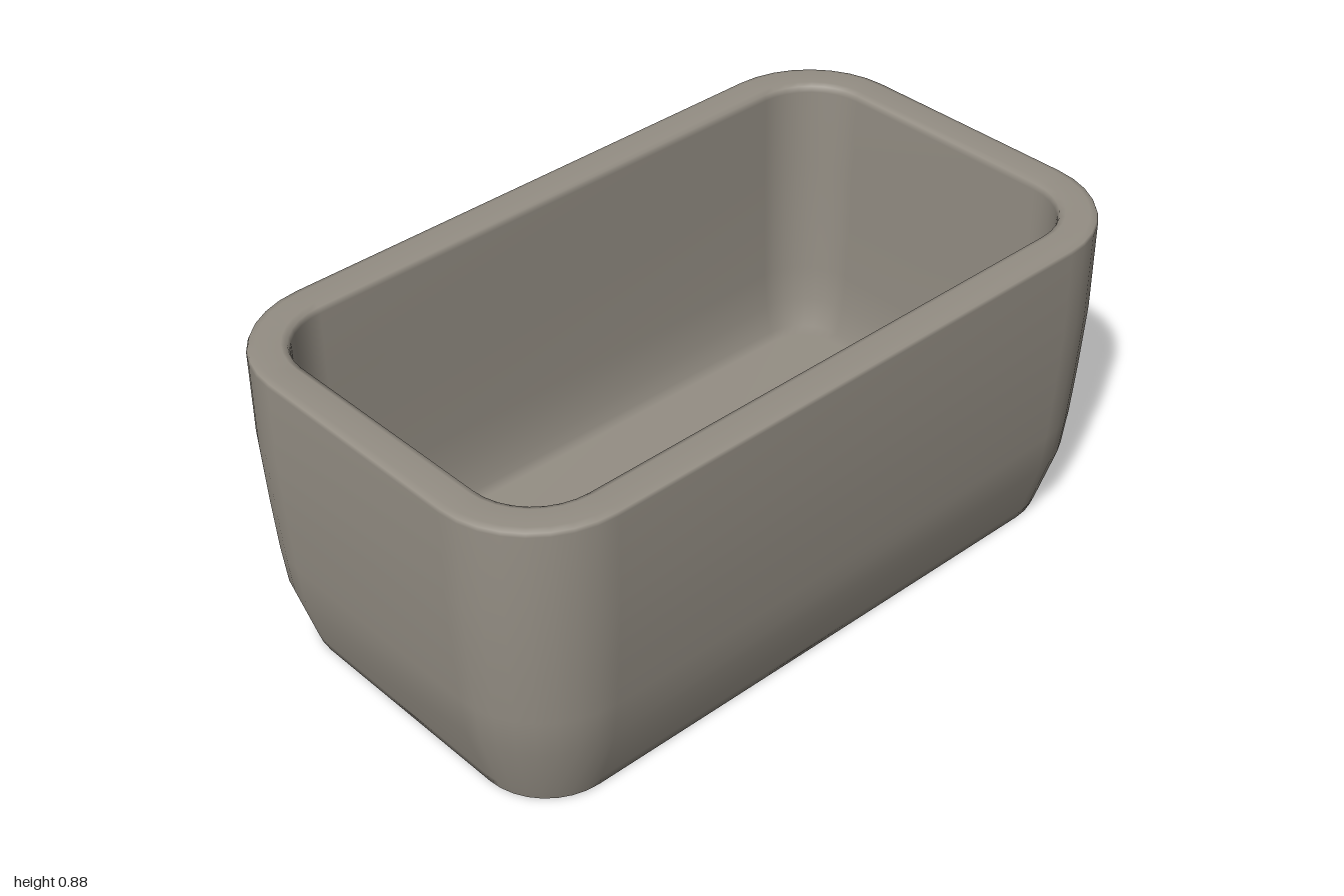
import * as THREE from 'three';

const SEG = 8;               // facets per rounded corner
const RING = 4 * (SEG + 1);  // points per cross-section
const CX = 0.73, CZ = 0.31, R = 0.27; // corner centres and outer radius

// Wall profile: [inset from the widest outline, height], outside up, over the rim, inside down
const PROFILE = [
  [0.09, 0], [0.08, 0.03], [0.032, 0.19], [0.02, 0.3], [0.01, 0.44], [0, 0.62], [0, 0.852],
  [0.004, 0.861], [0.02, 0.865], [0.08, 0.865], [0.095, 0.86], [0.1, 0.845],
  [0.102, 0.62], [0.11, 0.3], [0.12, 0.2], [0.138, 0.12], [0.155, 0.1],
];

// Rounded-rectangle ring, with the rim leaning very slightly
function addRing(pos, inset, y) {
  for (let c = 0; c < 4; c++) {
    const sx = c === 0 || c === 3 ? 1 : -1, sz = c < 2 ? 1 : -1;
    for (let k = 0; k <= SEG; k++) {
      const a = (c + k / SEG) * Math.PI / 2;
      const x = sx * CX + (R - inset) * Math.cos(a);
      const z = sz * CZ + (R - inset) * Math.sin(a);
      const lean = y > 0.5 ? (0.01 * x + 0.005 * z) * (y - 0.5) / 0.365 : 0;
      pos.push(x, y + lean, z);
    }
  }
}

function troughGeometry() {
  const pos = [], idx = [];
  PROFILE.forEach(([inset, y]) => addRing(pos, inset, y));

  // Walls and rim
  for (let j = 0; j < PROFILE.length - 1; j++) {
    for (let i = 0; i < RING; i++) {
      const n = (i + 1) % RING;
      const a = j * RING + i, b = j * RING + n;
      idx.push(a, a + RING, b, b, a + RING, b + RING);
    }
  }

  // Inner floor, fanned from the middle of the front right corner
  const last = (PROFILE.length - 1) * RING;
  const hub = SEG + 1 + SEG / 2;
  for (let k = 1; k < RING - 1; k++) {
    idx.push(last + hub, last + (hub + k + 1) % RING, last + (hub + k) % RING);
  }

  // Underside, with a small drain opening at the front right corner
  const apex = pos.length / 3;
  pos.push(-CX - 0.03, 0, CZ + 0.03);
  for (let k = 0; k < RING - SEG; k++) {
    const i = (2 * SEG + 1 + k) % RING;
    idx.push(apex, i, (i + 1) % RING);
  }

  const geo = new THREE.BufferGeometry();
  geo.setAttribute('position', new THREE.Float32BufferAttribute(pos, 3));
  geo.setIndex(idx);
  geo.computeVertexNormals();
  return geo;
}

export function createModel() {
  const group = new THREE.Group();
  group.name = 'planterTrough';
  const stone = new THREE.MeshStandardMaterial({ color: 0x948e84, side: THREE.DoubleSide });
  stone.name = 'warm grey stone';
  const trough = new THREE.Mesh(troughGeometry(), stone);
  trough.name = 'troughBody';
  group.add(trough);
  return group;
}
